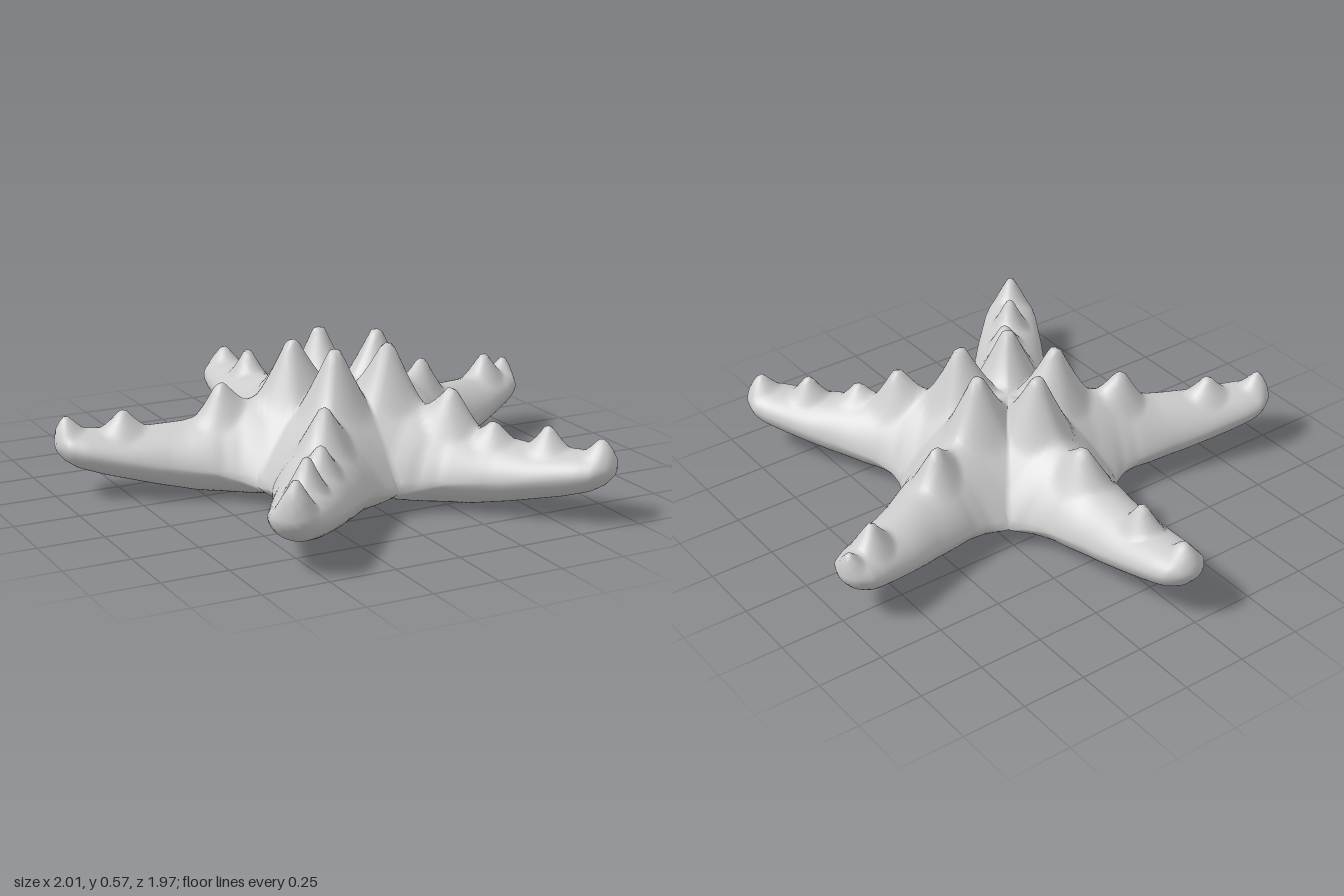
import * as THREE from 'three';
import { mergeVertices } from 'three/addons/utils/BufferGeometryUtils.js';

const CENTRE_X = 0.02, CENTRE_Z = 0.1, VALLEY = 0.356, FULL = 1.08, TAN = Math.tan(Math.PI / 5);

// Profiles along an arm: [distance from centre, value]
const WIDTH = [[0, 0.5], [0.2, 0.38], [VALLEY, VALLEY * TAN], [0.4, 0.218], [0.47, 0.185], [0.65, 0.148],
  [0.8, 0.132], [0.97, 0.108], [1.03, 0.092], [1.075, 0.05], [FULL, 0.04]];
const RIDGE = [[0, 0.4], [0.19, 0.42], [0.3, 0.37], [0.45, 0.32], [0.6, 0.275], [0.8, 0.255], [1, 0.26], [1.06, 0.26], [FULL, 0.24]];
const EDGE = [[0, 0.09], [VALLEY, 0.09], [0.5, 0.12], [0.7, 0.14], [1, 0.19], [FULL, 0.21]];
const BELLY = [[0, 0.03], [0.2, 0.015], [0.4, 0.002], [0.55, 0.012], [0.7, 0.04], [0.9, 0.085], [1, 0.115], [1.05, 0.145], [FULL, 0.18]];
// Section shape (1 - u^power)^steepness: sloping near the crown, rounded on the arms
const POWER = [[0, 1.4], [0.3, 1.45], [0.6, 1.8], [FULL, 2]];
const STEEPNESS = [[0, 1], [0.3, 1], [0.5, 0.7], [0.7, 0.6], [FULL, 0.55]];

// Arms: angle in degrees, length, sideways bend, spikes as [distance, offset, height, radius]
const ARMS = [
  { deg: 270, len: 1.08, bend: -0.02, spikes: [[0.47, 0, 0.09, 0.11], [0.8, 0, 0.09, 0.08], [1.02, 0, 0.05, 0.07]] },
  { deg: -18, len: 1.04, bend: -0.06, spikes: [[0.46, 0, 0.09, 0.1], [0.88, 0, 0.08, 0.09], [1.02, 0, 0.04, 0.06]] },
  { deg: 54, len: 1.07, bend: -0.02, spikes: [[0.45, 0, 0.11, 0.11], [0.62, 0.02, 0.06, 0.08], [0.82, 0, 0.08, 0.08], [1.02, 0, 0.05, 0.07]] },
  { deg: 126, len: 1.05, bend: 0.01, spikes: [[0.44, 0, 0.1, 0.11], [0.62, -0.02, 0.07, 0.08], [0.8, 0, 0.1, 0.08], [1.01, 0, 0.08, 0.08]] },
  { deg: 198, len: 1.07, bend: 0.02, spikes: [[0.46, 0, 0.1, 0.1], [0.82, 0, 0.07, 0.09], [1.03, 0, 0.05, 0.07]] },
];
const CROWN = [0.19, 0, 0.155, 0.14];

function sample(table, s) {
  for (let i = 1; i < table.length; i++) {
    const [a, va] = table[i - 1], [b, vb] = table[i];
    if (s <= b) return va + (vb - va) * (s - a) / (b - a);
  }
  return table[table.length - 1][1];
}

// Blunt cone with a flared foot raised on the upper skin
function spikeHeight([ss, sv, h, r], s, v) {
  const k = Math.max(0, 1 - Math.hypot(s - ss, v - sv) / r);
  return h * Math.min(1, 1.25 * k ** 1.3);
}

function addArm(arm, pos, idx) {
  const INNER = 20, OUTER = 46, SIDE = 28;
  const a = THREE.MathUtils.degToRad(arm.deg), c = Math.cos(a), n = Math.sin(a);
  for (const top of [true, false]) {
    const base = pos.length / 3;
    // the last row closes the tip to a point
    for (let i = 0; i <= INNER + OUTER + 1; i++) {
      const tip = i > INNER + OUTER;
      const t = Math.min(1, Math.max(0, (i - INNER) / OUTER));
      const q = i <= INNER ? VALLEY * i / INNER : VALLEY + (FULL - VALLEY) * t;
      const s = i <= INNER ? q : VALLEY + (arm.len - VALLEY) * t;
      const w = sample(WIDTH, q), half = Math.min(w, q * TAN);
      const edge = sample(EDGE, q), crest = sample(top ? RIDGE : BELLY, q);
      const power = top ? sample(POWER, q) : 2, steep = sample(STEEPNESS, q);
      for (let j = 0; j <= SIDE; j++) {
        // even spacing at the centre, tighter towards the rims on the arms
        const e = 2 * j / SIDE - 1;
        const u = THREE.MathUtils.lerp(e, Math.sin(e * Math.PI / 2), Math.min(1, t * 5));
        const v = tip ? 0 : half * u;
        const round = Math.max(0, 1 - Math.abs(v / w) ** power) ** steep;
        let y = edge + (crest - edge) * round;
        if (top) {
          let bump = 0;
          for (const sp of [CROWN, ...arm.spikes]) bump = Math.max(bump, spikeHeight(sp, s, v));
          y += bump * Math.min(1, round * 1.3);
        }
        if (tip) y = edge;
        const out = s + (tip ? 0.008 : 0), lat = v + arm.bend * t;
        pos.push(out * c - lat * n + CENTRE_X, y, out * n + lat * c + CENTRE_Z);
      }
    }
    const row = SIDE + 1;
    for (let i = 0; i <= INNER + OUTER; i++) for (let j = 0; j < SIDE; j++) {
      const p = base + i * row + j, r = p + row;
      if (top) idx.push(p, p + 1, r, r, p + 1, r + 1);
      else idx.push(p, r, p + 1, r, r + 1, p + 1);
    }
  }
}

export function createModel() {
  const group = new THREE.Group();
  group.name = 'starfish';
  const pos = [], idx = [];
  for (const arm of ARMS) addArm(arm, pos, idx);

  let geometry = new THREE.BufferGeometry();
  geometry.setAttribute('position', new THREE.Float32BufferAttribute(pos, 3));
  geometry.setIndex(idx);
  geometry = mergeVertices(geometry, 1e-4);
  geometry.computeVertexNormals();

  const body = new THREE.Mesh(geometry, new THREE.MeshStandardMaterial({ color: 0xcccccc }));
  body.name = 'spinedBody';
  group.add(body);
  return group;
}
